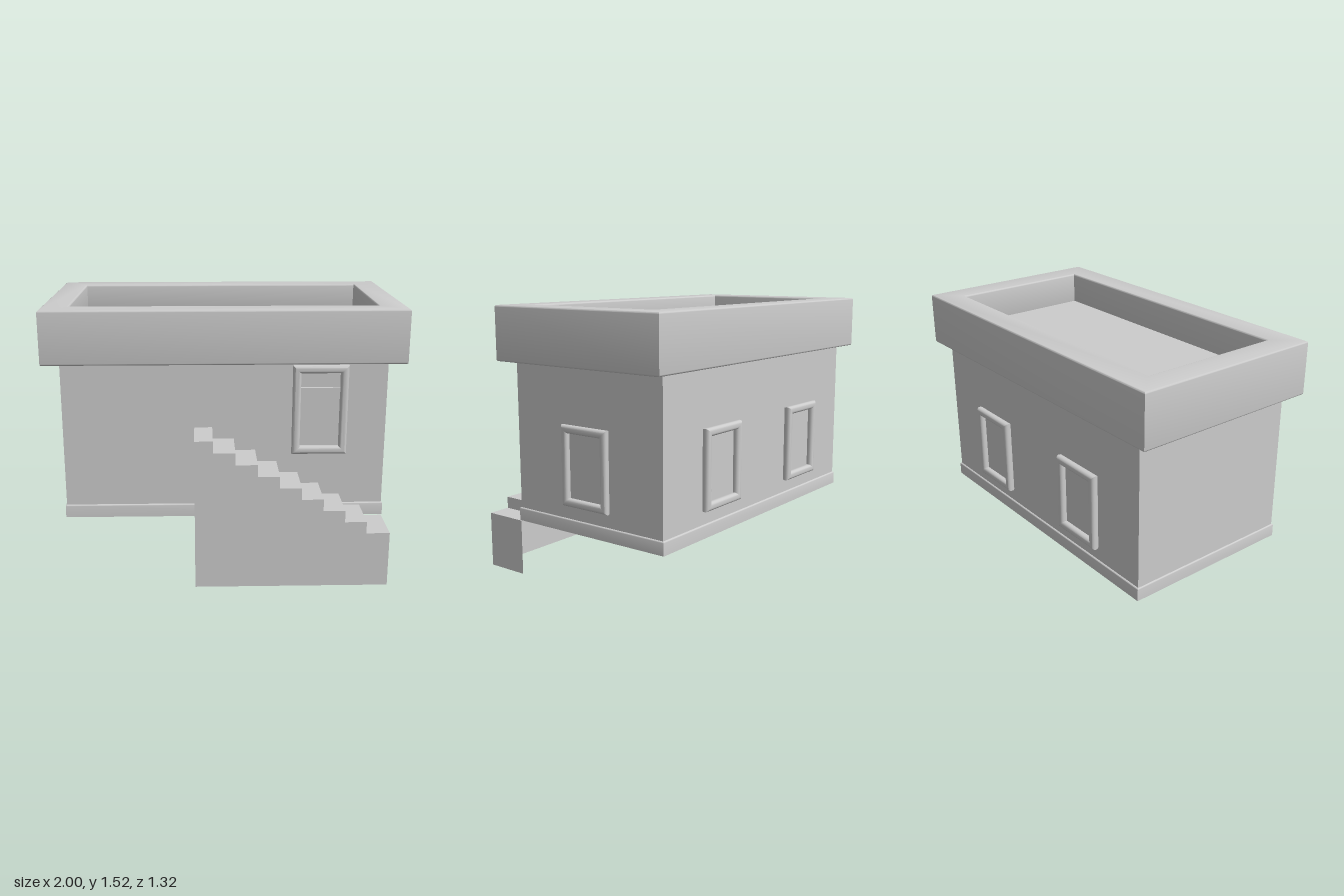
import * as THREE from 'three';
import { toCreasedNormals } from 'three/addons/utils/BufferGeometryUtils.js';

const material = new THREE.MeshStandardMaterial({ color: 0xcccccc });
const thin = new THREE.MeshStandardMaterial({ color: 0xcccccc, side: THREE.DoubleSide });

function add(parent, name, geometry, x = 0, y = 0, z = 0, mat = material) {
  const mesh = new THREE.Mesh(geometry, mat);
  mesh.name = name;
  mesh.position.set(x, y, z);
  parent.add(mesh);
  return mesh;
}

function rect(path, w, h) {
  path.moveTo(-w / 2, -h / 2);
  path.lineTo(w / 2, -h / 2);
  path.lineTo(w / 2, h / 2);
  path.lineTo(-w / 2, h / 2);
  path.closePath();
  return path;
}

// Rectangular ring with rounded edges, from z = 0 to z = depth; sizes are the finished ones
function ring(w, h, innerW, innerH, depth, bevel) {
  const shape = rect(new THREE.Shape(), w - 2 * bevel, h - 2 * bevel);
  shape.holes.push(rect(new THREE.Path(), innerW + 2 * bevel, innerH + 2 * bevel));
  const geo = new THREE.ExtrudeGeometry(shape, {
    depth: depth - 2 * bevel, bevelThickness: bevel, bevelSize: bevel, bevelSegments: 4,
  });
  geo.translate(0, 0, bevel);
  return toCreasedNormals(geo, 0.6);
}

// Framed opening with a recessed pane; faces +z, back on z = 0
function framedPane(name, w, h, depth) {
  const group = new THREE.Group();
  group.name = name;
  add(group, 'frame', ring(w, h, w - 0.09, h - 0.09, depth, 0.018));
  add(group, 'pane', new THREE.BoxGeometry(w - 0.06, h - 0.06, 0.02), 0, 0, 0.002);
  return group;
}

// Open-backed staircase shell: front wall plus a strip along its outline
function stairs() {
  const x0 = -0.17, x1 = 0.905, zBack = 0.405, zFront = 0.66, steps = 9;
  const outline = [[x1, 0]];
  for (let i = 0; i < steps; i++) {
    const y = 0.315 + i * 0.0675;
    const right = i === 0 ? x1 : 0.775 - (i - 1) * 0.1207;
    const left = i === steps - 1 ? x0 : 0.775 - i * 0.1207;
    outline.push([right, y], [left, y]);
  }
  outline.push([x0, 0]);

  const group = new THREE.Group();
  group.name = 'stairs';
  const wall = new THREE.Shape(outline.map(([x, y]) => new THREE.Vector2(x, y)));
  add(group, 'stairFrontWall', new THREE.ShapeGeometry(wall), 0, 0, zFront, thin);

  const positions = [];
  for (let i = 0; i < outline.length - 1; i++) {
    const [ax, ay] = outline[i], [bx, by] = outline[i + 1];
    positions.push(
      ax, ay, zFront, ax, ay, zBack, bx, by, zBack,
      ax, ay, zFront, bx, by, zBack, bx, by, zFront);
  }
  const strip = new THREE.BufferGeometry();
  strip.setAttribute('position', new THREE.Float32BufferAttribute(positions, 3));
  strip.computeVertexNormals();
  add(group, 'stairTreads', strip, 0, 0, 0, thin);
  return group;
}

export function createModel() {
  const model = new THREE.Group();
  model.name = 'building';
  const cz = -0.103;

  // Walls and the slightly wider base course
  add(model, 'walls', new THREE.BoxGeometry(1.806, 0.9, 1.003), 0, 0.775, cz);
  const base = new THREE.ExtrudeGeometry(rect(new THREE.Shape(), 1.804, 1.004), {
    depth: 0.067, bevelThickness: 0.008, bevelSize: 0.008, bevelSegments: 3, bevelOffset: 0,
  });
  base.rotateX(-Math.PI / 2);
  // Keep the underside flat and square
  const p = base.attributes.position;
  for (let i = 0; i < p.count; i++) if (p.getY(i) < 0) p.setY(i, 0);
  add(model, 'baseCourse', toCreasedNormals(base, 0.6), 0, 0.32, cz);

  // Overhanging parapet with a sunken roof deck
  const parapet = ring(2, 1.11, 1.7, 0.812, 0.3, 0.01);
  parapet.rotateX(-Math.PI / 2);
  add(model, 'parapet', parapet, 0, 1.22, -0.105);
  add(model, 'roofDeck', new THREE.BoxGeometry(1.74, 0.13, 0.85), 0, 1.275, -0.105);

  // Side window and two back windows
  const sideWindow = framedPane('sideWindow', 0.315, 0.44, 0.04);
  sideWindow.rotation.y = Math.PI / 2;
  sideWindow.position.set(0.897, 0.69, -0.103);
  model.add(sideWindow);
  for (const x of [0.415, -0.415]) {
    const backWindow = framedPane('backWindow', 0.325, 0.44, 0.045);
    backWindow.rotation.y = Math.PI;
    backWindow.position.set(x, 0.69, -0.6);
    model.add(backWindow);
  }

  // Front door with a transom bar
  const door = framedPane('door', 0.308, 0.51, 0.05);
  door.position.set(0.529, 0.957, 0.395);
  add(door, 'transomBar', new THREE.BoxGeometry(0.23, 0.025, 0.025), 0, 0.115, 0.02);
  model.add(door);

  model.add(stairs());
  return model;
}
